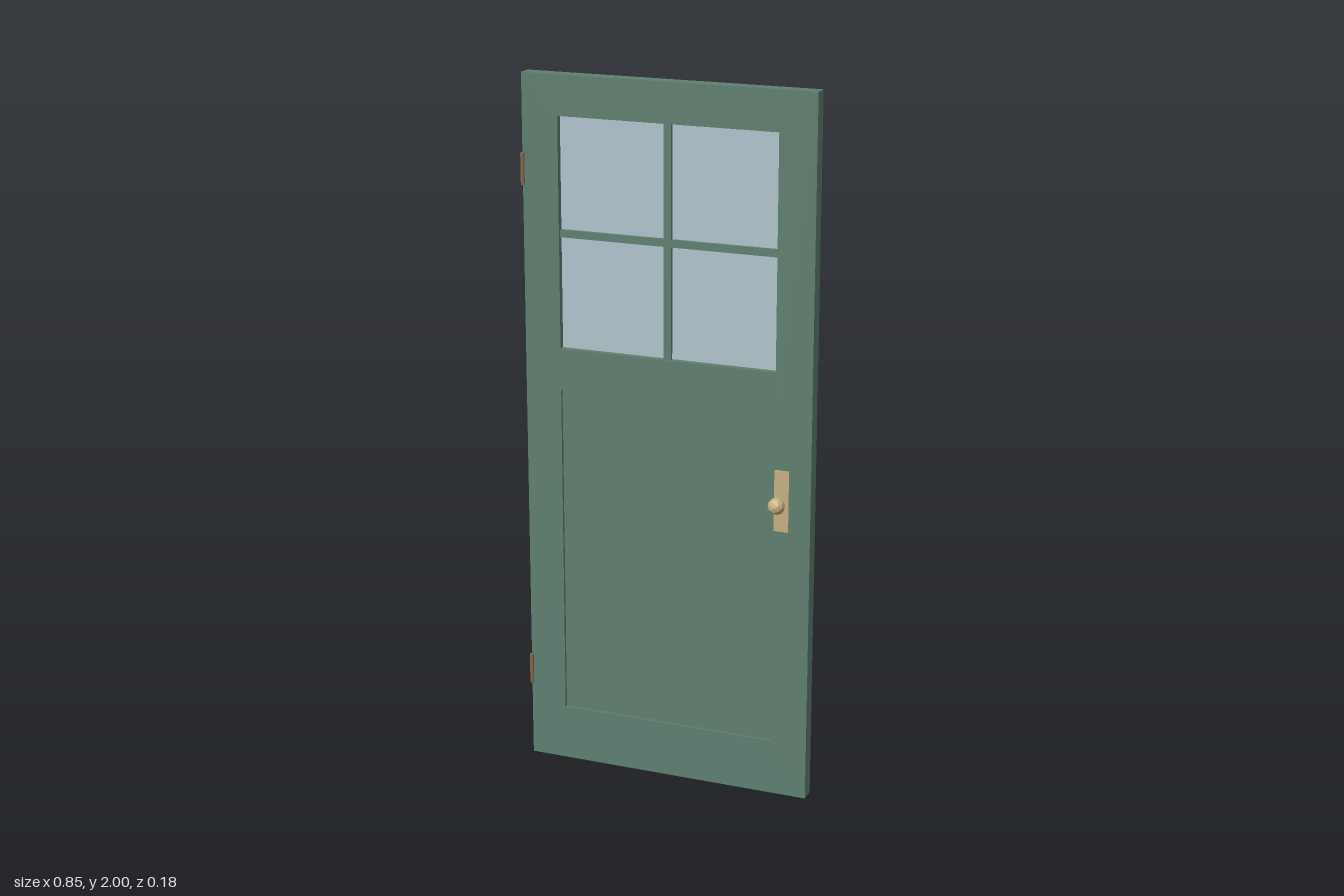
import * as THREE from 'three';

const mat = (name, color) => {
  const m = new THREE.MeshStandardMaterial({ color });
  m.name = name;
  return m;
};

export function createModel() {
  const green = mat('green paint', 0x5f7f70);
  const glass = mat('pale glass', 0xb0c4cd);
  const brass = mat('brass', 0xc4b083);
  const bronze = mat('hinge bronze', 0x8a6a4c);
  brass.flatShading = true;

  const door = new THREE.Group();
  door.name = 'door';
  const add = (parent, name, geometry, material, x, y, z) => {
    const mesh = new THREE.Mesh(geometry, material);
    mesh.name = name;
    mesh.position.set(x, y, z);
    parent.add(mesh);
    return mesh;
  };
  const box = (name, w, h, d, material, x, y, z = 0) =>
    add(door, name, new THREE.BoxGeometry(w, h, d), material, x, y, z);

  const cx = 0.0025, thick = 0.042, openW = 0.63;
  const panelLow = 0.16, panelHigh = 1.12, winLow = 1.24, winHigh = 1.888;
  const winMid = (winLow + winHigh) / 2, winH = winHigh - winLow;

  // Frame of stiles and rails, with openings for the panel and the window
  const rect = (path, w, y0, y1) => {
    path.moveTo(-w / 2, y0);
    path.lineTo(w / 2, y0);
    path.lineTo(w / 2, y1);
    path.lineTo(-w / 2, y1);
    path.closePath();
    return path;
  };
  const outline = rect(new THREE.Shape(), 0.84, 0, 2);
  outline.holes.push(rect(new THREE.Path(), openW, panelLow, panelHigh));
  outline.holes.push(rect(new THREE.Path(), openW, winLow, winHigh));
  const frame = new THREE.ExtrudeGeometry(outline, { depth: thick, bevelEnabled: false });
  add(door, 'frame', frame, green, cx, 0, -thick / 2);

  // Recessed lower panel
  box('lowerPanel', openW, panelHigh - panelLow, 0.024, green, cx, (panelLow + panelHigh) / 2);

  // Glass and the cross of glazing bars
  box('windowGlass', openW, winH, 0.008, glass, cx, winMid);
  box('verticalGlazingBar', 0.021, winH, 0.028, green, cx, winMid);
  box('horizontalGlazingBar', openW, 0.021, 0.027, green, cx, winMid);

  // Matching handles on both faces
  for (const [name, side] of [['frontHandle', 1], ['backHandle', -1]]) {
    const handle = new THREE.Group();
    handle.name = name;
    handle.position.set(0.34, 0.878, 0);
    add(handle, 'handlePlate', new THREE.BoxGeometry(0.042, 0.175, 0.005), brass, 0, 0, side * 0.0225);
    const stem = add(handle, 'handleStem', new THREE.CylinderGeometry(0.006, 0.006, 0.04, 8), brass, 0, 0, side * 0.04);
    stem.rotation.x = Math.PI / 2;
    add(handle, 'knob', new THREE.IcosahedronGeometry(0.024, 1), brass, 0, 0, side * 0.066);
    door.add(handle);
  }

  // Hinge barrels on the front corner of the hanging edge
  for (const [name, y] of [['lowerHinge', 0.265], ['upperHinge', 1.737]]) {
    add(door, name, new THREE.CylinderGeometry(0.006, 0.006, 0.088, 8), bronze, -0.4175, y, 0.022);
  }

  return door;
}
